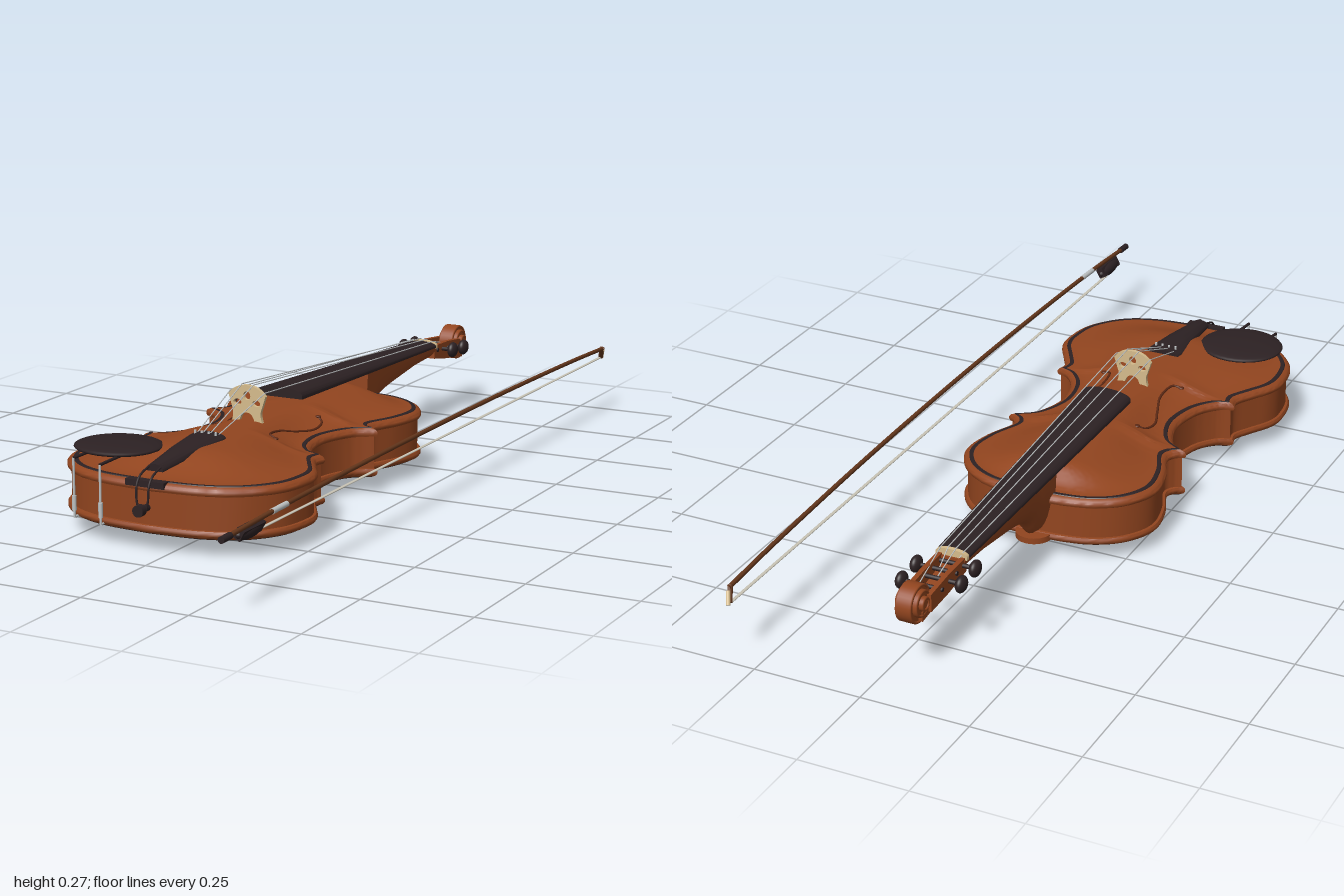
import * as THREE from 'three';
import { toCreasedNormals } from 'three/addons/utils/BufferGeometryUtils.js';

const mat = (name, color, extra = {}) => Object.assign(new THREE.MeshStandardMaterial({ color, ...extra }), { name });
const V = (x, y, z) => new THREE.Vector3(x, y, z);

export function createModel() {
  const varnish = mat('varnish', 0x92451f);
  const ebony = mat('ebony', 0x2c2123);
  const maple = mat('pale maple', 0xd6bc8c);
  const steel = mat('steel', 0xbfc3c4);
  const holeBrown = mat('sound hole brown', 0x5a2814);
  const bowWood = mat('bow wood', 0x65371c);
  const hairWhite = mat('bow hair', 0xcfcabb);

  const model = new THREE.Group();
  const violin = new THREE.Group();
  violin.name = 'violin';
  violin.position.x = -0.053;
  model.add(violin);

  const add = (name, geo, material, parent = violin) => {
    const mesh = new THREE.Mesh(geo, material);
    mesh.name = name;
    parent.add(mesh);
    return mesh;
  };
  // Skin over closed rings that run counter-clockwise about the travel direction
  const loft = (rings, capped = false, crease = 0.7) => {
    if (capped) {
      const mid = r => { const c = V(0, 0, 0); r.forEach(p => c.add(p)); c.divideScalar(r.length); return r.map(() => c); };
      rings = [mid(rings[0]), ...rings, mid(rings[rings.length - 1])];
    }
    const n = rings[0].length, index = [];
    for (let k = 0; k < rings.length - 1; k++) for (let i = 0; i < n; i++) {
      const j = (i + 1) % n, a = k * n + i, b = k * n + j;
      index.push(a, b, b + n, a, b + n, a + n);
    }
    const g = new THREE.BufferGeometry().setFromPoints(rings.flat());
    g.setIndex(index);
    return toCreasedNormals(g, crease);
  };
  const rod = (name, a, b, r, material, parent, sides = 8) => {
    const d = b.clone().sub(a);
    const m = add(name, new THREE.CylinderGeometry(r, r, d.length(), sides), material, parent);
    m.position.copy(a).addScaledVector(d, 0.5);
    m.quaternion.setFromUnitVectors(V(0, 1, 0), d.normalize());
    return m;
  };
  const blob = (name, x, y, z, rx, ry, rz, material, parent) => {
    const m = add(name, new THREE.SphereGeometry(1, 32, 16), material, parent);
    m.scale.set(rx, ry, rz);
    m.position.set(x, y, z);
    return m;
  };
  const tube = (name, pts, r, material, parent, seg = 40) =>
    add(name, new THREE.TubeGeometry(new THREE.CatmullRomCurve3(pts), seg, r, 8), material, parent);

  // Body outline: upper bout, waist and lower bout meet at sharp corners
  const bouts = [
    [[0, -0.317], [0.07, -0.312], [0.14, -0.293], [0.2, -0.25], [0.235, -0.18], [0.225, -0.1], [0.197, -0.03], [0.204, 0], [0.224, 0.014]],
    [[0.224, 0.014], [0.178, 0.05], [0.15, 0.13], [0.162, 0.215], [0.197, 0.268], [0.23, 0.284]],
    [[0.23, 0.284], [0.226, 0.315], [0.25, 0.36], [0.278, 0.41], [0.285, 0.46], [0.269, 0.54], [0.21, 0.612], [0.12, 0.65], [0, 0.662]],
  ];
  const half = bouts.flatMap((b, k) => {
    const p = new THREE.SplineCurve(b.map(q => new THREE.Vector2(...q))).getPoints(40);
    return k ? p.slice(1) : p;
  });
  half[0].x = half[half.length - 1].x = 0;
  const outline = [...half, ...half.slice(1, -1).reverse().map(p => new THREE.Vector2(-p.x, p.y))];
  // Ring moved inward from the outline, then shrunk by t toward the centre line
  const ring = (inset, y, t = 1) => outline.map(p => {
    const s = V(0, y, THREE.MathUtils.clamp(p.y, -0.2, 0.45));
    const d = V(p.x, y, p.y).sub(s);
    return s.addScaledVector(d, t * (1 - inset / d.length()));
  });
  const archY = t => 0.152 + 0.038 * THREE.MathUtils.smoothstep(1 - t, 0, 0.85);
  const mirrorY = rings => rings.map(r => r.map(p => V(p.x, 0.19 - p.y, p.z))).reverse();

  // Arched plates with overhanging edge, ribs and inlaid border
  const plate = [];
  for (let i = 0; i <= 18; i++) plate.push(ring(0.028, archY(i / 18), i / 18));
  plate.push(ring(0.013, 0.152), ring(0.004, 0.148), ring(0, 0.143), ring(0, 0.137), ring(0.003, 0.133), ring(0.012, 0.132));
  add('topPlate', loft(plate), varnish);
  add('backPlate', loft(mirrorY(plate)), varnish);
  add('ribs', loft([ring(0.009, 0.14), ring(0.009, 0.05)]), varnish);
  const border = [ring(0.024, 0.1535), ring(0.015, 0.1535), ring(0.0125, 0.151)];
  add('topBorder', loft(border), ebony);
  add('backBorder', loft(mirrorY(border)), ebony);

  // Curved sound holes following the arch
  const surfaceY = (x, z) => {
    const p = half.reduce((a, b) => Math.abs(b.y - z) < Math.abs(a.y - z) ? b : a);
    return archY(Math.min(1, Math.abs(x) / (p.x - 0.028)));
  };
  for (const s of [-1, 1]) {
    const path = [[0.088, 0.045], [0.102, 0.055], [0.108, 0.1], [0.09, 0.155], [0.075, 0.205], [0.082, 0.262], [0.1, 0.27]];
    tube('soundHole', path.map(([x, z]) => V(s * x, surfaceY(x, z), z)), 0.003, holeBrown);
    for (const [x, z] of [path[0], path[6]]) blob('soundHoleEnd', s * x, surfaceY(x, z), z, 0.007, 0.003, 0.007, holeBrown);
  }

  // Neck with rounded heel
  const arc = (a0, fn) => Array.from({ length: 17 }, (_, i) => fn(Math.cos(a0 + Math.PI * i / 16), Math.sin(a0 + Math.PI * i / 16)));
  const boardY = z => 0.213 + (z - 0.07) * 0.035;
  const neck = [[-0.7, 0.034, 0.157], [-0.6, 0.036, 0.15], [-0.45, 0.04, 0.128], [-0.39, 0.041, 0.113], [-0.365, 0.042, 0.1], [-0.352, 0.043, 0.08], [-0.335, 0.044, 0.06], [-0.29, 0.046, 0.05]];
  add('neck', loft(neck.map(([z, w, low]) => arc(Math.PI, (c, s) => V(c * w, boardY(z) + s * (boardY(z) - low), z))), true), varnish);
  const button = add('heelButton', new THREE.CylinderGeometry(0.042, 0.042, 0.014, 32), varnish);
  button.position.set(0, 0.049, -0.308);

  // Fingerboard, nut and tailpiece: flat below, domed above
  const dome = (z, w, low, edge, rise) => [V(w, low, z), ...arc(0, (c, s) => V(c * w, low + edge + s * rise, z)), V(-w, low, z)];
  add('fingerboard', loft([dome(-0.685, 0.038, boardY(-0.685), 0.005, 0.009), dome(0.07, 0.06, 0.213, 0.008, 0.017)], true), ebony);
  add('nut', loft([dome(-0.696, 0.037, 0.184, 0.008, 0.011), dome(-0.686, 0.037, 0.184, 0.008, 0.011)], true), maple);
  add('tailpiece', loft([dome(0.385, 0.04, 0.186, 0.004, 0.012), dome(0.4, 0.043, 0.185, 0.004, 0.013), dome(0.5, 0.033, 0.179, 0.004, 0.013), dome(0.62, 0.02, 0.166, 0.004, 0.012)], true), ebony);

  // Saddle, tail loop and end button
  add('saddle', new THREE.BoxGeometry(0.094, 0.014, 0.02), ebony).position.set(0, 0.148, 0.653);
  for (const s of [-1, 1])
    tube('tailLoop', [V(s * 0.014, 0.178, 0.61), V(s * 0.015, 0.163, 0.655), V(s * 0.015, 0.145, 0.669), V(s * 0.014, 0.115, 0.672), V(s * 0.01, 0.095, 0.672)], 0.0025, ebony);
  rod('endButtonStem', V(0, 0.095, 0.645), V(0, 0.095, 0.68), 0.008, ebony, violin, 20);
  rod('endButton', V(0, 0.095, 0.676), V(0, 0.095, 0.692), 0.013, ebony, violin, 24);

  // Bridge with cut-outs
  const bridge = new THREE.Shape();
  bridge.moveTo(-0.04, 0.184);
  bridge.lineTo(-0.02, 0.184);
  bridge.quadraticCurveTo(-0.016, 0.208, 0, 0.208);
  bridge.quadraticCurveTo(0.016, 0.208, 0.02, 0.184);
  bridge.lineTo(0.04, 0.184);
  bridge.quadraticCurveTo(0.031, 0.205, 0.038, 0.22);
  bridge.lineTo(0.047, 0.248);
  bridge.quadraticCurveTo(0.03, 0.271, 0, 0.271);
  bridge.quadraticCurveTo(-0.03, 0.271, -0.047, 0.248);
  bridge.lineTo(-0.038, 0.22);
  bridge.quadraticCurveTo(-0.031, 0.205, -0.04, 0.184);
  for (const [x, y, rx, ry] of [[0, 0.247, 0.009, 0.01], [-0.024, 0.231, 0.01, 0.007], [0.024, 0.231, 0.01, 0.007]])
    bridge.holes.push(new THREE.Path().absellipse(x, y, rx, ry, 0, Math.PI * 2));
  add('bridge', new THREE.ExtrudeGeometry(bridge, { depth: 0.009, bevelEnabled: false, curveSegments: 16 }), maple).position.z = 0.211;

  // Pegbox cheeks and floor, drawn in side profile
  const sidePlate = (name, pts, x, width) => {
    const g = new THREE.ExtrudeGeometry(new THREE.Shape(pts.map(p => new THREE.Vector2(...p))), { depth: width, bevelEnabled: false });
    add(name, g.translate(0, 0, -width / 2).rotateY(-Math.PI / 2), varnish).position.x = x;
  };
  for (const s of [-1, 1])
    sidePlate('pegboxCheek', [[-0.845, 0.14], [-0.77, 0.145], [-0.69, 0.157], [-0.69, 0.19], [-0.77, 0.188], [-0.845, 0.18]], s * 0.027, 0.011);
  sidePlate('pegboxFloor', [[-0.87, 0.128], [-0.77, 0.142], [-0.69, 0.157], [-0.69, 0.168], [-0.77, 0.155], [-0.87, 0.15]], 0, 0.05);

  // Scroll as stepped turns about a cross axis
  for (const [r, w, dy] of [[0.043, 0.016, 0], [0.03, 0.023, 0.002], [0.016, 0.03, 0.003]]) {
    rod('scrollTurn', V(-w, 0.166 + dy, -0.865), V(w, 0.166 + dy, -0.865), r, varnish, violin, 36);
    for (const s of [-1, 1]) {
      const rim = add('scrollRim', new THREE.TorusGeometry(r - 0.003, 0.003, 8, 36), varnish);
      rim.rotation.y = Math.PI / 2;
      rim.position.set(s * w, 0.166 + dy, -0.865);
    }
  }

  // Tuning pegs and strings
  const pegZ = [-0.705, -0.736, -0.767, -0.8];
  pegZ.forEach((z, i) => {
    const s = i % 2 ? 1 : -1, y = 0.177 + (z + 0.705) * 0.08;
    rod('pegShaft', V(-s * 0.036, y, z), V(s * 0.055, y, z), 0.005, ebony);
    blob('pegHead', s * 0.061, y, z, 0.012, 0.019, 0.02, ebony);
    const u = [-1.5, 0.5, -0.5, 1.5][i], bend = Math.abs(u) > 1 ? 1 : 0;
    const path = [V(u * 0.017, 0.2 - bend * 0.004, 0.4), V(u * 0.029, 0.272 - bend * 0.016, 0.2155), V(u * 0.018, 0.205 - bend * 0.004, -0.691), V(u * 0.012, y + 0.005, z)];
    for (let k = 0; k < 3; k++) rod('string', path[k], path[k + 1], 0.0013, steel, violin, 6);
    rod('fineTuner', V(u * 0.017, 0.19, 0.405), V(u * 0.017, 0.206, 0.405), 0.003, steel);
  });

  // Chin rest with clamp posts
  blob('chinRest', -0.148, 0.184, 0.523, 0.1, 0.0125, 0.093, ebony);
  for (const [x, z] of [[-0.192, 0.637], [-0.11, 0.662]]) {
    rod('clampPost', V(x, 0.045, z), V(x, 0.176, z), 0.0028, steel);
    rod('clampBarrel', V(x, 0.06, z), V(x, 0.093, z), 0.005, steel, violin, 12);
    rod('clampFoot', V(x, 0.045, z), V(x, 0.045, z - 0.03), 0.0028, steel);
    rod('clampArm', V(x, 0.176, z), V(x * 0.95, 0.18, z - 0.08), 0.0035, ebony);
  }

  // Bow lying beside the body
  const bow = new THREE.Group();
  bow.name = 'bow';
  model.add(bow);
  tube('bowStick', [V(0.325, 0.164, 0.975), V(0.328, 0.172, 0.8), V(0.331, 0.181, 0.4), V(0.331, 0.184, 0), V(0.328, 0.181, -0.4), V(0.322, 0.171, -0.8), V(0.318, 0.163, -0.975)], 0.0052, bowWood, bow, 60);
  rod('bowScrew', V(0.325, 0.164, 0.965), V(0.3245, 0.163, 1), 0.0075, ebony, bow, 16);
  rod('bowGrip', V(0.329, 0.1735, 0.74), V(0.328, 0.172, 0.8), 0.0062, steel, bow, 12);
  const frog = add('bowFrog', new THREE.BoxGeometry(0.018, 0.024, 0.09), ebony, bow);
  frog.position.set(0.318, 0.153, 0.875);
  frog.rotation.z = -0.5;
  blob('bowFrogSwell', 0.317, 0.151, 0.875, 0.0145, 0.016, 0.05, ebony, bow);
  const hair = rod('bowHair', V(0.312, 0.14, 0.85), V(0.308, 0.137, -0.985), 0.004, hairWhite, bow, 6);
  hair.scale.z = 0.5;
  rod('bowHead', V(0.319, 0.166, -0.965), V(0.308, 0.138, -0.988), 0.006, bowWood, bow, 8);
  rod('bowTip', V(0.316, 0.159, -0.979), V(0.307, 0.136, -0.995), 0.005, maple, bow, 8);

  return model;
}
